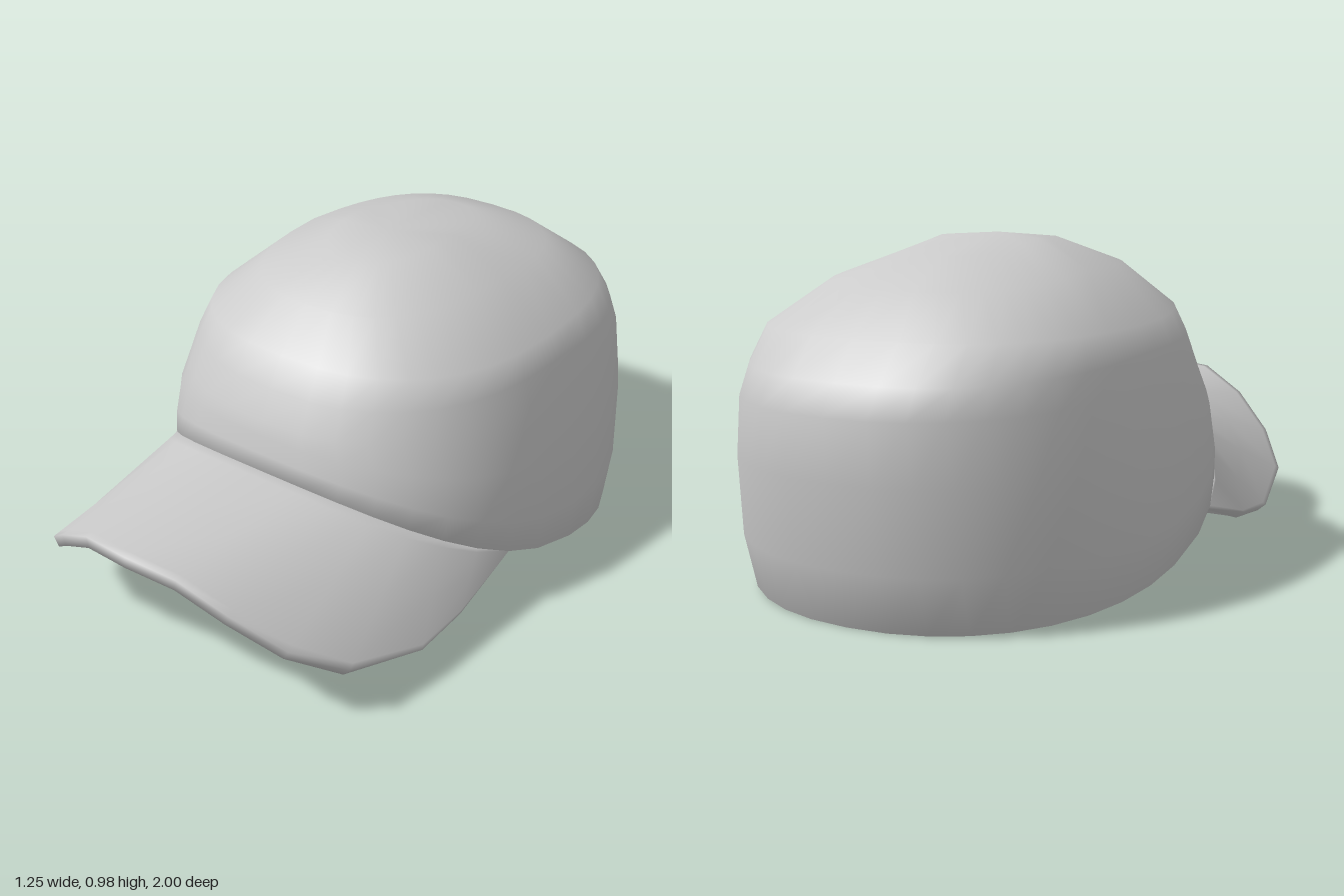
import * as THREE from 'three';
import { mergeVertices } from 'three/addons/utils/BufferGeometryUtils.js';

const STEP = Math.PI / 18;
const material = new THREE.MeshStandardMaterial({ color: 0xcccccc, side: THREE.DoubleSide });

// Smooth surface through rows of points
function loft(rows, name) {
  const n = rows[0].length, index = [];
  for (let r = 0; r < rows.length - 1; r++)
    for (let c = 0; c < n - 1; c++) {
      const a = r * n + c, d = a + n;
      index.push(a, a + 1, d + 1, a, d + 1, d);
    }
  let geometry = new THREE.BufferGeometry().setFromPoints(rows.flat());
  geometry.setIndex(index);
  geometry = mergeVertices(geometry, 1e-4);
  geometry.computeVertexNormals();
  const mesh = new THREE.Mesh(geometry, material);
  mesh.name = name;
  return mesh;
}

// Crown rings from rim to apex: front z, y; side x, y, z; back z, y;
// squareness powers of the front and back halves
const RINGS = [
  [0.47, 0.47, 0.62, 0.10, -0.25, -0.91, 0.005, 0.81, 0.93],
  [0.462, 0.52, 0.627, 0.22, -0.25, -0.965, 0.17, 0.82, 0.92],
  [0.45, 0.57, 0.607, 0.42, -0.25, -0.99, 0.40, 0.82, 0.88],
  [0.44, 0.61, 0.56, 0.60, -0.25, -1.00, 0.57, 0.82, 0.84],
  [0.40, 0.70, 0.535, 0.68, -0.25, -0.95, 0.65, 0.81, 0.79],
  [0.35, 0.78, 0.505, 0.75, -0.25, -0.86, 0.75, 0.80, 0.74],
  [0.23, 0.89, 0.345, 0.89, -0.24, -0.72, 0.86, 0.80, 0.76],
  [0.04, 0.96, 0.16, 0.97, -0.20, -0.52, 0.935, 0.82, 0.82],
  [-0.15, 0.98, 0, 0.98, -0.15, -0.15, 0.98, 1, 1],
];

// Ring point: front and back half-ovals that meet at the sides
function ringPoint([fz, fy, sx, sy, sz, bz, by, frontPower, backPower], a) {
  const s = Math.sin(a), c = Math.cos(a), front = c > 1e-9;
  const p = front ? frontPower : backPower, u = Math.abs(c) ** p;
  const x = Math.sign(s) * Math.abs(s) ** p * sx;
  return front
    ? new THREE.Vector3(x, sy + (fy - sy) * (0.4 * u + 0.6 * u * u), sz + (fz - sz) * u)
    : new THREE.Vector3(x, sy + (by - sy) * (1.5 * u - 0.5 * u * u), sz + (bz - sz) * u);
}

// Inner copy of a ring, set in by the cloth thickness
function inset([fz, fy, sx, sy, sz, bz, by, ...powers], i) {
  const t = i ? 0.023 : 0.028, top = i === RINGS.length - 1;
  const d = t * Math.min(1, i / 5), h = top ? 0 : i > 6 ? t / 2 : t, lift = i ? 0 : 0.008;
  return [fz - h, fy - d, Math.max(0, sx - h), sy - d + lift, sz, bz + h, by - d + lift, ...powers];
}

function createCrown() {
  const rings = [...RINGS.map(inset).reverse(), ...RINGS];
  return loft(rings.map(ring =>
    Array.from({ length: 37 }, (_, i) => ringPoint(ring, (i % 36) * STEP))), 'crown');
}

// Outer edge of the brim, from the centre to the side
const EDGE = [
  [0, 0.47, 1], [0.16, 0.455, 0.98], [0.30, 0.38, 0.94], [0.43, 0.275, 0.86],
  [0.53, 0.18, 0.73], [0.588, 0.115, 0.48], [0.592, 0.13, 0.3],
];

function createBrim() {
  const innerRim = inset(RINGS[0], 0);
  const column = i => {
    const k = Math.abs(i), side = Math.sign(i);
    const root = ringPoint(RINGS[0], i * STEP), innerRoot = ringPoint(innerRim, i * STEP);
    innerRoot.y -= 0.012;
    const edge = k < 7 ? new THREE.Vector3(side * EDGE[k][0], EDGE[k][1], EDGE[k][2]) : root.clone();
    const tilt = Math.min(1, k / 5) * 0.9, t = k < 7 ? 0.034 : 0.018;
    const lowEdge = edge.clone().add(
      new THREE.Vector3(-side * Math.sin(tilt) * t, -Math.cos(tilt) * t, 0));
    const top = f => root.clone().lerp(edge, f);
    // The underside keeps its thickness until close to the rim
    const bottom = f => innerRoot.clone().lerp(lowEdge, f).add(
      new THREE.Vector3(0, -0.05 * f * (1 - f), 0));
    return [top(0), ...[0, 0.15, 0.5, 0.95, 1].map(bottom), ...[1, 0.95, 0.5, 0.06, 0].map(top)];
  };
  const columns = Array.from({ length: 15 }, (_, i) => column(i - 7));
  return loft(columns[0].map((_, r) => columns.map(c => c[r])), 'brim');
}

export function createModel() {
  const group = new THREE.Group();
  group.name = 'cap';
  group.add(createCrown(), createBrim());
  return group;
}
